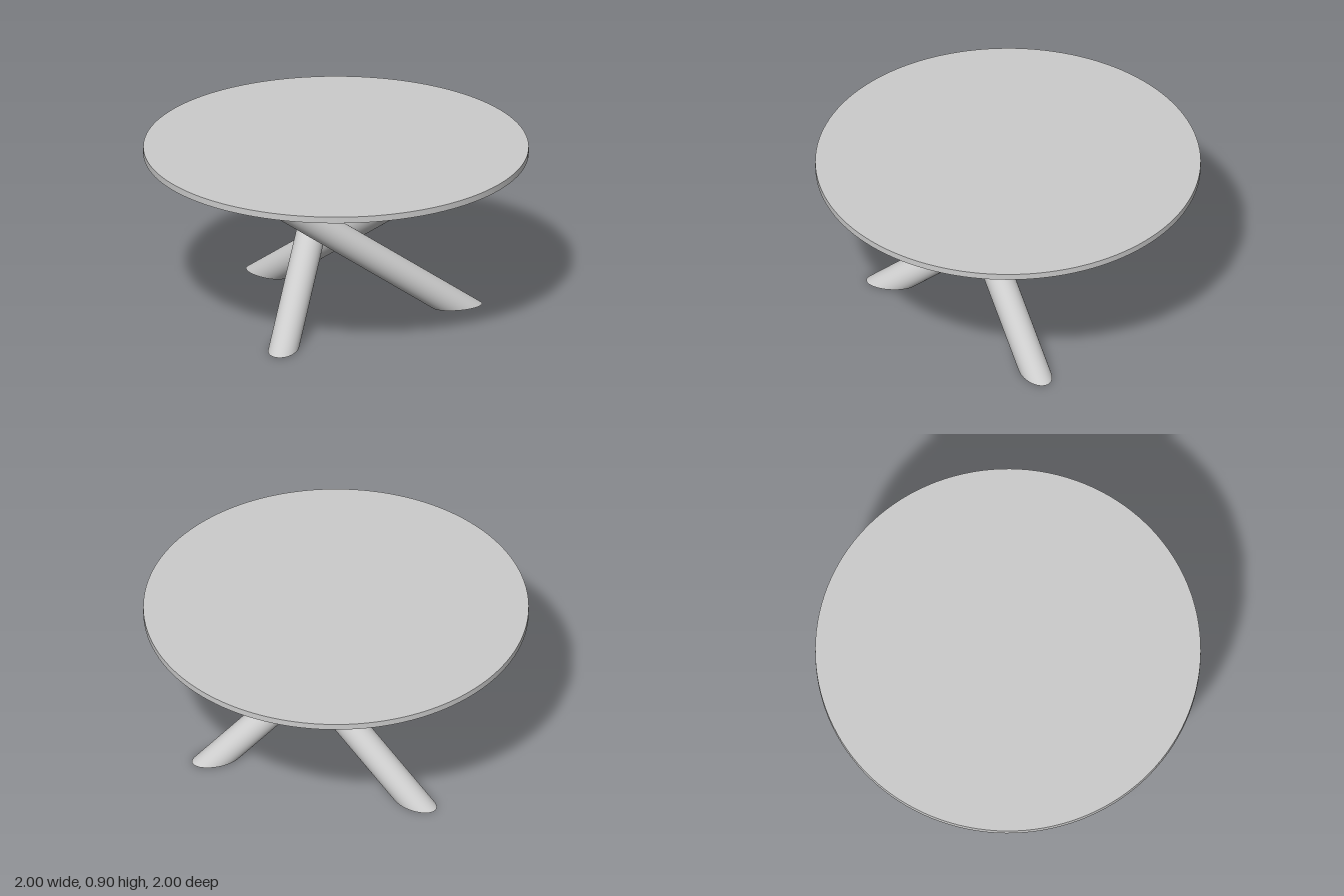
import * as THREE from 'three';

const material = new THREE.MeshStandardMaterial({ color: 0xcccccc });
const LEG_RADIUS = 0.077;

const polar = (radius, degrees, y) => {
  const a = THREE.MathUtils.degToRad(degrees);
  return new THREE.Vector3(radius * Math.cos(a), y, radius * Math.sin(a));
};

// Slanted round leg: square-cut at the top, cut level with the floor at the foot
function legGeometry(foot, top) {
  const axis = top.clone().sub(foot);
  const length = axis.length();
  axis.normalize();
  const geometry = new THREE.CylinderGeometry(LEG_RADIUS, LEG_RADIUS, length, 48);
  geometry.translate(0, length / 2, 0);
  const pos = geometry.attributes.position;
  const normal = geometry.attributes.normal;
  const isFoot = [];
  for (let i = 0; i < pos.count; i++) isFoot.push(pos.getY(i) < length / 2);
  geometry.applyQuaternion(
    new THREE.Quaternion().setFromUnitVectors(new THREE.Vector3(0, 1, 0), axis));
  geometry.translate(foot.x, foot.y, foot.z);

  const p = new THREE.Vector3();
  const n = new THREE.Vector3();
  for (let i = 0; i < pos.count; i++) {
    if (!isFoot[i]) continue;
    // slide the foot vertices along the axis onto the floor
    p.fromBufferAttribute(pos, i);
    p.addScaledVector(axis, -p.y / axis.y);
    pos.setXYZ(i, p.x, 0, p.z);
    // the floor cut faces straight down
    n.fromBufferAttribute(normal, i);
    if (n.dot(axis) < -0.9) normal.setXYZ(i, 0, -1, 0);
  }
  return geometry;
}

export function createModel() {
  const table = new THREE.Group();
  table.name = 'roundTable';

  // Thin round top
  const tabletop = new THREE.Mesh(new THREE.CylinderGeometry(1, 1, 0.034, 128), material);
  tabletop.name = 'tabletop';
  tabletop.position.y = 0.885;
  table.add(tabletop);

  // Three crossing legs, each a third of a turn from the next
  const legs = new THREE.Group();
  legs.name = 'legs';
  for (let i = 0; i < 3; i++) {
    const turn = i * 120;
    const leg = new THREE.Mesh(
      legGeometry(polar(0.63, 7.3 + turn, 0), polar(0.54, 161.7 + turn, 0.804)), material);
    leg.name = `leg${i + 1}`;
    legs.add(leg);
  }
  table.add(legs);

  return table;
}
